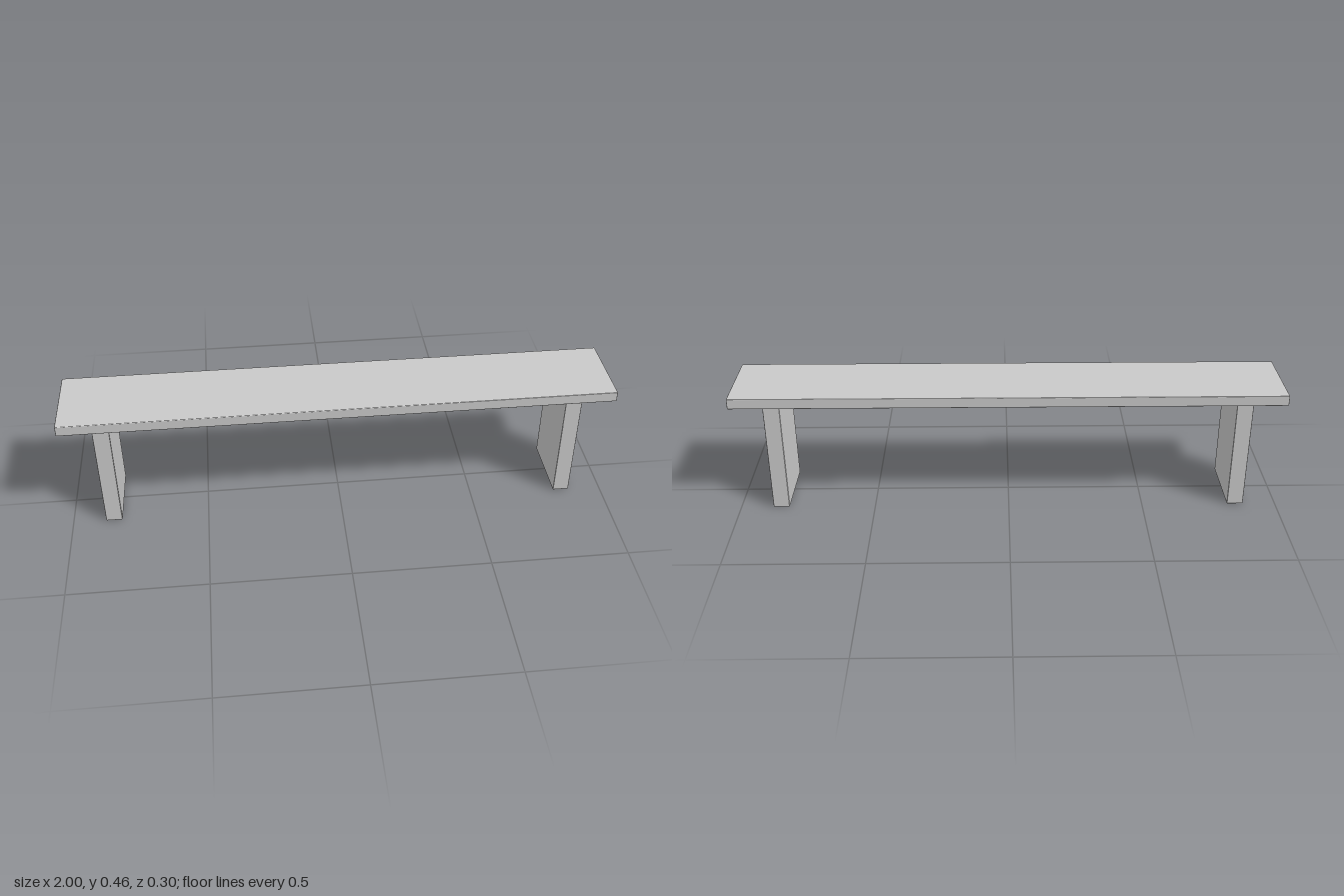
import * as THREE from 'three';
import { RoundedBoxGeometry } from 'three/addons/geometries/RoundedBoxGeometry.js';

export function createModel() {
  const bench = new THREE.Group();
  bench.name = 'bench';
  const grey = new THREE.MeshStandardMaterial({ color: 0xc8c8c8 });
  grey.name = 'light grey';

  // Board with slightly eased edges, placed by the height of its underside
  function board(name, width, height, depth, x, bottom) {
    const mesh = new THREE.Mesh(new RoundedBoxGeometry(width, height, depth, 2, 0.003), grey);
    mesh.name = name;
    mesh.position.set(x, bottom + height / 2, 0);
    bench.add(mesh);
  }

  const legHeight = 0.421;
  board('seat', 2, 0.039, 0.298, 0, legHeight);

  // Slab legs, mirrored left and right
  for (const side of [1, -1]) {
    board(side > 0 ? 'leftLeg' : 'rightLeg', 0.06, legHeight, 0.259, side * 0.85, 0);
  }
  return bench;
}
